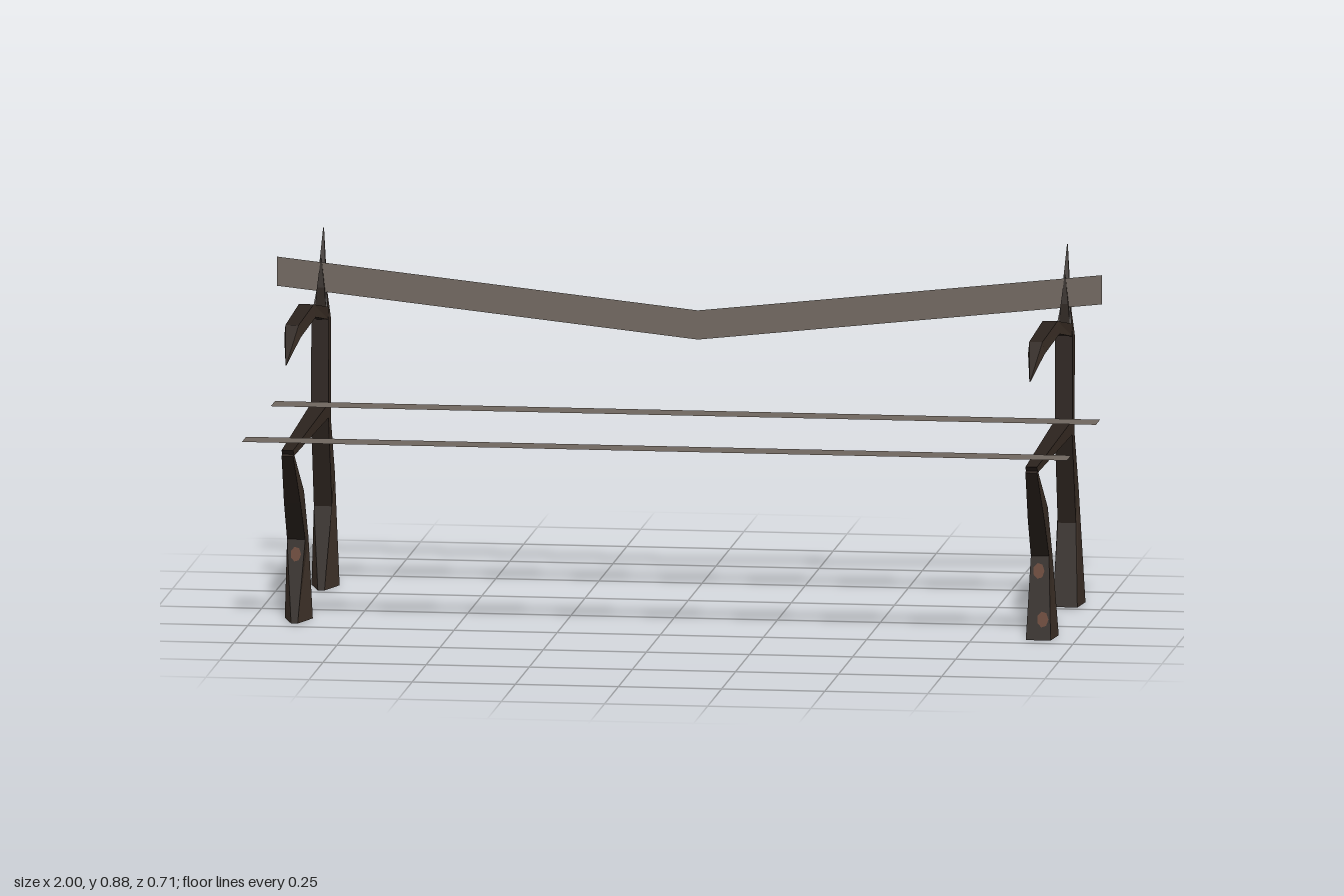
import * as THREE from 'three';

const sideBrown = new THREE.MeshStandardMaterial({ name: 'bark brown', color: 0x47392f });
const edgeDark = new THREE.MeshStandardMaterial({ name: 'dark bark', color: 0x2c231e });
const plankGrey = new THREE.MeshStandardMaterial({ name: 'weathered plank', color: 0x716860, side: THREE.DoubleSide });
const rust = new THREE.MeshStandardMaterial({ name: 'rust', color: 0x65402f });
for (const m of [sideBrown, edgeDark, rust]) m.flatShading = true;

// Four-sided limb through sections [z1, y1, z2, y2, halfWidth1, halfWidth2]
function limb(name, sections) {
  const rings = sections.map(([z1, y1, z2, y2, w1, w2 = w1]) => [
    [w1, y1, z1], [w2, y2, z2], [-w2, y2, z2], [-w1, y1, z1],
  ]);
  const sides = [], edges = [];
  const quad = (list, a, b, c, d) => list.push(...a, ...b, ...c, ...a, ...c, ...d);
  for (let s = 0; s < rings.length - 1; s++) {
    const p = rings[s], q = rings[s + 1];
    for (let i = 0; i < 4; i++) {
      const j = (i + 1) % 4;
      quad(i % 2 ? edges : sides, p[i], p[j], q[j], q[i]);
    }
  }
  const first = rings[0], last = rings[rings.length - 1];
  quad(edges, first[3], first[2], first[1], first[0]);
  quad(edges, ...last);
  const geo = new THREE.BufferGeometry();
  geo.setAttribute('position', new THREE.Float32BufferAttribute([...sides, ...edges], 3));
  geo.addGroup(0, sides.length / 3, 0);
  geo.addGroup(sides.length / 3, edges.length / 3, 1);
  geo.computeVertexNormals();
  const mesh = new THREE.Mesh(geo, [sideBrown, edgeDark]);
  mesh.name = name;
  return mesh;
}

// One branch-like end frame; toe is the half width at the front of each foot
function endFrame(name, x, toe, heel) {
  const g = new THREE.Group();
  g.name = name;
  g.position.x = x;
  g.add(
    limb('backPost', [
      [-0.275, 0, -0.355, 0, toe, heel],
      [-0.308, 0.2, -0.343, 0.28, 0.022, 0.024],
      [-0.25, 0.425, -0.293, 0.42, 0.021],
      [-0.255, 0.67, -0.297, 0.66, 0.021],
      [-0.28, 0.73, -0.303, 0.72, 0.012],
      [-0.319, 0.877, -0.32, 0.877, 0.001],
    ]),
    limb('smallSpike', [
      [-0.264, 0.66, -0.285, 0.66, 0.016],
      [-0.266, 0.74, -0.279, 0.735, 0.009],
      [-0.276, 0.81, -0.277, 0.81, 0.001],
    ]),
    limb('frontLeg', [
      [0.205, 0, 0.125, 0, toe, heel],
      [0.173, 0.2, 0.13, 0.2, 0.022, 0.024],
      [0.243, 0.3, 0.18, 0.32, 0.02],
      [0.33, 0.428, 0.318, 0.434, 0.014],
    ]),
    limb('seatRail', [
      [-0.255, 0.425, -0.255, 0.46, 0.021],
      [0.318, 0.427, 0.33, 0.443, 0.014],
    ]),
    limb('armrest', [
      [-0.265, 0.662, -0.265, 0.693, 0.02],
      [-0.015, 0.71, -0.01, 0.742, 0.022, 0.018],
      [0.238, 0.703, 0.247, 0.734, 0.02, 0.016],
      [0.355, 0.654, 0.355, 0.656, 0.001],
    ]),
  );
  return g;
}

// Thin rust spot lying on the sloping front of a foot
function rustSpot(x, y, r) {
  const m = new THREE.Mesh(new THREE.CircleGeometry(r, 7), rust);
  m.name = 'rustSpot';
  m.position.set(x, y, 0.207 - 0.16 * y);
  m.rotation.x = -0.16;
  m.scale.y = 1.4;
  return m;
}

export function createModel() {
  const model = new THREE.Group();
  model.name = 'bench';
  model.add(
    endFrame('rightFrame', -0.893, 0.008, 0.034),
    endFrame('leftFrame', 0.91, 0.03, 0.039),
    rustSpot(-0.893, 0.165, 0.013),
    rustSpot(0.92, 0.05, 0.014),
    rustSpot(0.908, 0.165, 0.014),
  );

  // Two flat seat planks
  for (const [name, z] of [['frontSeatPlank', 0.316], ['backSeatPlank', -0.202]]) {
    const plank = new THREE.Mesh(new THREE.PlaneGeometry(2, 0.075).rotateX(-Math.PI / 2), plankGrey);
    plank.name = name;
    plank.position.set(0, 0.465, z);
    model.add(plank);
  }

  // Sagging back plank
  const outline = [[-1, 0.74], [0.02, 0.632], [1, 0.74], [1, 0.811], [0.02, 0.703], [-1, 0.811]];
  const shape = new THREE.Shape(outline.map(([x, y]) => new THREE.Vector2(x, y)));
  const back = new THREE.Mesh(new THREE.ShapeGeometry(shape), plankGrey);
  back.name = 'backPlank';
  back.position.z = -0.275;
  model.add(back);
  return model;
}
